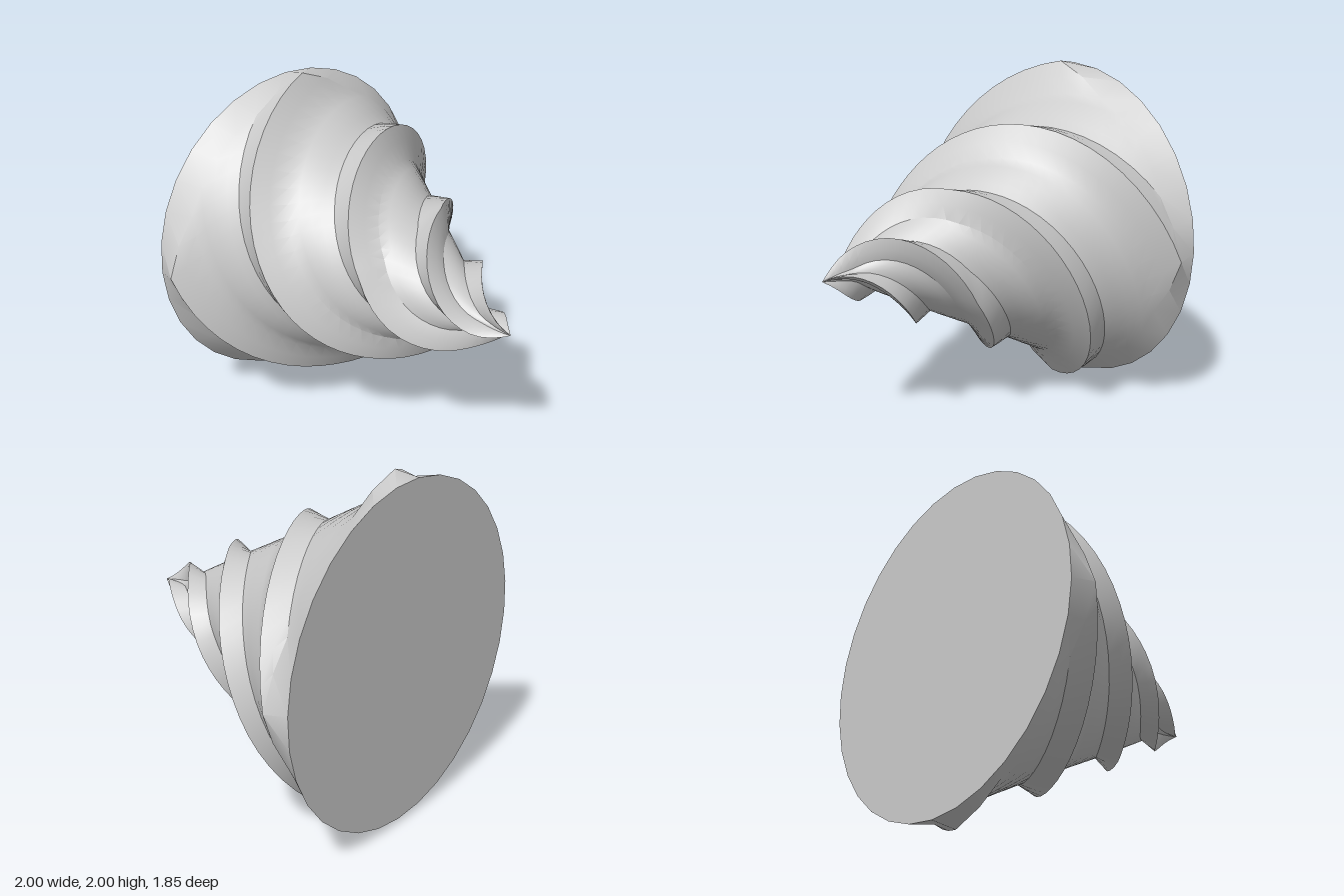
import * as THREE from 'three';
import { toCreasedNormals } from 'three/addons/utils/BufferGeometryUtils.js';

// Stations along the axis, back to front: [z, crest radius, crest turn in degrees]
const STATIONS = [
  [-0.79, 1.0, 0], [-0.32, 0.735, 75], [0.2, 0.456, 157],
  [0.57, 0.25, 236], [0.78, 0.115, 282], [0.925, 0, 312],
];
// Depth below the crest at even steps round one quarter: a tooth, then the core
const TOOTH = [0, 0.5, 1, 1, 1, 1, 1, 0.5];
const DEPTH = 0.11;
const FLUTES = 4;
const STEPS = 40;

function sample(z) {
  let k = 0;
  while (k < STATIONS.length - 2 && z > STATIONS[k + 1][0]) k++;
  const [a, b] = [STATIONS[k], STATIONS[k + 1]];
  const t = (z - a[0]) / (b[0] - a[0]);
  return [THREE.MathUtils.lerp(a[1], b[1], t), THREE.MathUtils.lerp(a[2], b[2], t)];
}

// One section: four teeth of even height on a round core; depth 0 gives a circle
function ring(z, radius, turn, depth) {
  const points = [];
  const count = FLUTES * TOOTH.length;
  for (let i = 0; i < count; i++) {
    const angle = THREE.MathUtils.degToRad(turn) + (i / count) * Math.PI * 2;
    const r = radius - depth * TOOTH[i % TOOTH.length];
    points.push(new THREE.Vector3(Math.cos(angle) * r, 1 + Math.sin(angle) * r, z));
  }
  return points;
}

function createGeometry(triangles) {
  const geometry = new THREE.BufferGeometry().setFromPoints(triangles);
  return toCreasedNormals(geometry, THREE.MathUtils.degToRad(28));
}

export function createModel() {
  const group = new THREE.Group();
  group.name = 'spiralCone';
  const material = new THREE.MeshStandardMaterial({ color: 0xcccccc });

  // Round rim at the back, then twisted sections shrinking to the tip
  const rim = ring(-0.925, 0.975, -10, 0);
  const rings = [rim];
  const [back, front] = [STATIONS[0][0], STATIONS[STATIONS.length - 1][0]];
  for (let s = 0; s <= STEPS; s++) {
    const z = THREE.MathUtils.lerp(back, front, s / STEPS);
    const [radius, turn] = sample(z);
    // The core thins out near the tip, leaving four blades
    rings.push(ring(z, radius, turn, Math.min(DEPTH, radius * 0.75)));
  }

  const count = rim.length;
  const skin = [];
  for (let j = 0; j < rings.length - 1; j++) {
    for (let i = 0; i < count; i++) {
      const n = (i + 1) % count;
      const [a, b, c, d] = [rings[j][i], rings[j][n], rings[j + 1][n], rings[j + 1][i]];
      skin.push(a, b, d);
      if (j < rings.length - 2) skin.push(b, c, d);
    }
  }
  const body = new THREE.Mesh(createGeometry(skin), material);
  body.name = 'twistedBody';
  group.add(body);

  // Flat back
  const centre = new THREE.Vector3(0, 1, -0.925);
  const fan = [];
  rim.forEach((p, i) => fan.push(centre, rim[(i + 1) % count], p));
  const base = new THREE.Mesh(createGeometry(fan), material);
  base.name = 'backPlate';
  group.add(base);

  return group;
}
